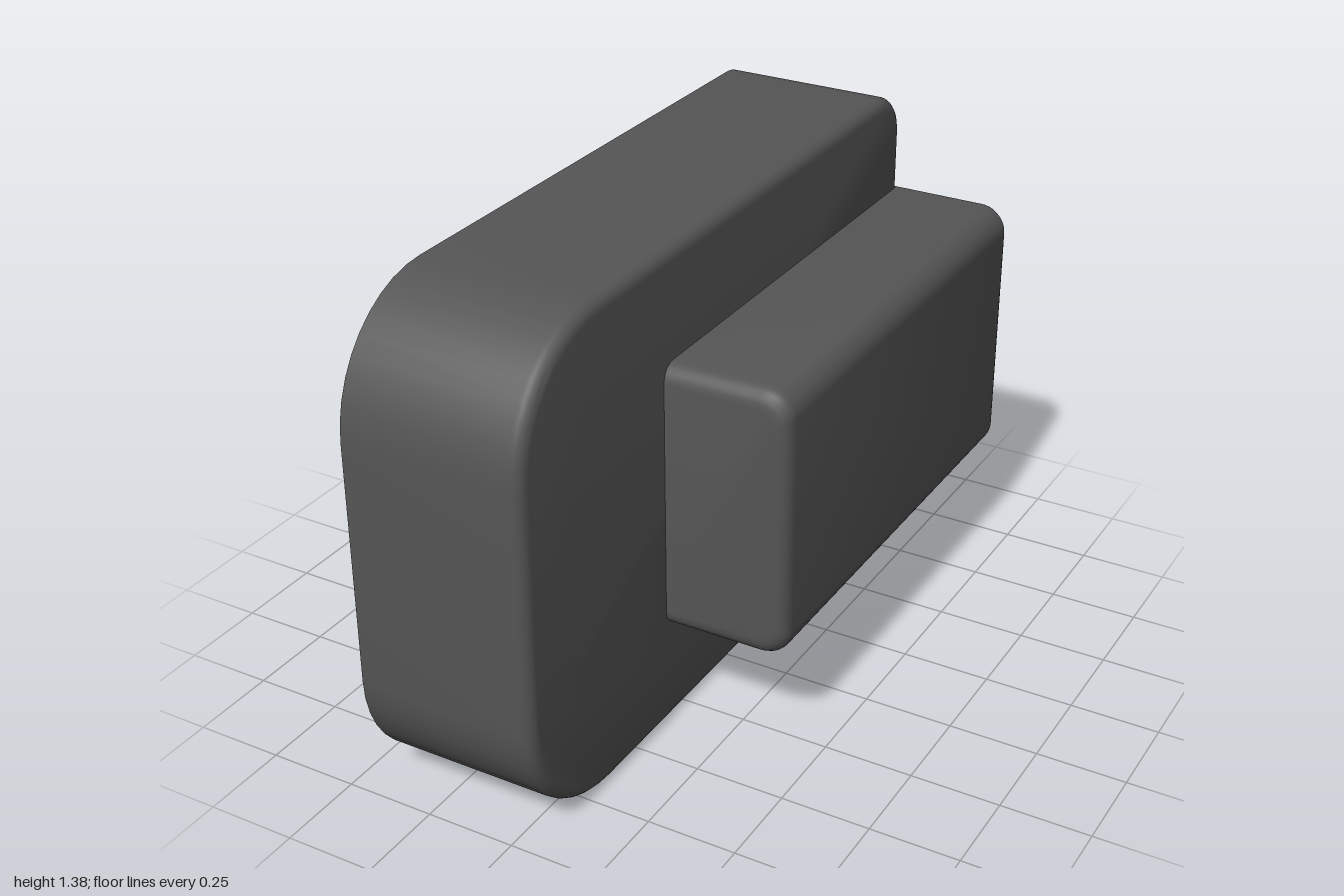
import * as THREE from 'three';
import { toCreasedNormals } from 'three/addons/utils/BufferGeometryUtils.js';

// Counter-clockwise rounded rectangle; radii start at the low-u, low-v corner.
function roundedRect(u0, u1, v0, v1, radii, steps = 10) {
  const corners = [[u0, v0, 1, 1], [u1, v0, -1, 1], [u1, v1, -1, -1], [u0, v1, 1, -1]];
  const points = [];
  corners.forEach(([u, v, su, sv], i) => {
    const r = radii[i];
    const n = r > 0 ? steps : 0;
    for (let k = 0; k <= n; k++) {
      const a = Math.PI + (i + (n ? k / n : 0)) * Math.PI / 2;
      points.push([u + su * r + r * Math.cos(a), v + sv * r + r * Math.sin(a)]);
    }
  });
  return points;
}

// Skins a stack of convex rings and caps both ends.
function loft(rings) {
  const n = rings[0].length;
  const positions = rings.flat();
  const index = [];
  for (let r = 0; r < rings.length - 1; r++) {
    for (let i = 0; i < n; i++) {
      const a = r * n + i, b = r * n + (i + 1) % n;
      index.push(a, b, b + n, a, b + n, a + n);
    }
  }
  const top = (rings.length - 1) * n;
  for (let i = 1; i < n - 1; i++) {
    index.push(0, i + 1, i, top, top + i, top + i + 1);
  }
  const geometry = new THREE.BufferGeometry();
  geometry.setAttribute('position', new THREE.Float32BufferAttribute(positions.flat(), 3));
  geometry.setIndex(index);
  return toCreasedNormals(geometry, 0.6);
}

export function createModel() {
  const group = new THREE.Group();
  group.name = 'steppedBlock';
  const material = new THREE.MeshStandardMaterial({ color: 0x555555 });
  const add = (name, geometry) => {
    const mesh = new THREE.Mesh(geometry, material);
    mesh.name = name;
    group.add(mesh);
  };

  // Plate: large front corners, small back corners, rounded outer edge, flat inner face
  const bevel = 0.035;
  const plateRing = (x, inset) => roundedRect(
    -1 + inset, 1 - inset, inset, 1.38 - inset,
    [0.35, 0.13, 0.13, 0.35].map((r) => r - inset),
  ).map(([u, v]) => [x, v, -u]);
  const plateRings = [plateRing(-0.43, 0)];
  for (let i = 0; i <= 5; i++) {
    const a = i / 5 * Math.PI / 2;
    plateRings.push(plateRing(0.077 - bevel + bevel * Math.sin(a), bevel * (1 - Math.cos(a))));
  }
  add('plate', loft(plateRings));

  // Raised bar: outer long edges rounded, both ends softened
  const barRing = (z, insetX, insetY) => roundedRect(
    0.045, 0.427 - insetX, 0.307 + insetY, 1.078 - insetY,
    [0, 0.075 - insetX * 0.5, 0.075 - insetX * 0.5, 0],
  ).map(([u, v]) => [u, v, z]);
  const barRings = [];
  for (let i = 0; i <= 4; i++) {
    const a = i / 4 * Math.PI / 2;
    barRings.push(barRing(-1 + 0.025 * (1 - Math.cos(a)), 0.035 * (1 - Math.sin(a)), 0.008 * (1 - Math.sin(a))));
  }
  for (let i = 0; i <= 5; i++) {
    const a = i / 5 * Math.PI / 2;
    barRings.push(barRing(0.315 + 0.045 * Math.sin(a), 0.04 * (1 - Math.cos(a)), 0.05 * (1 - Math.cos(a))));
  }
  add('raisedBar', loft(barRings));

  return group;
}
